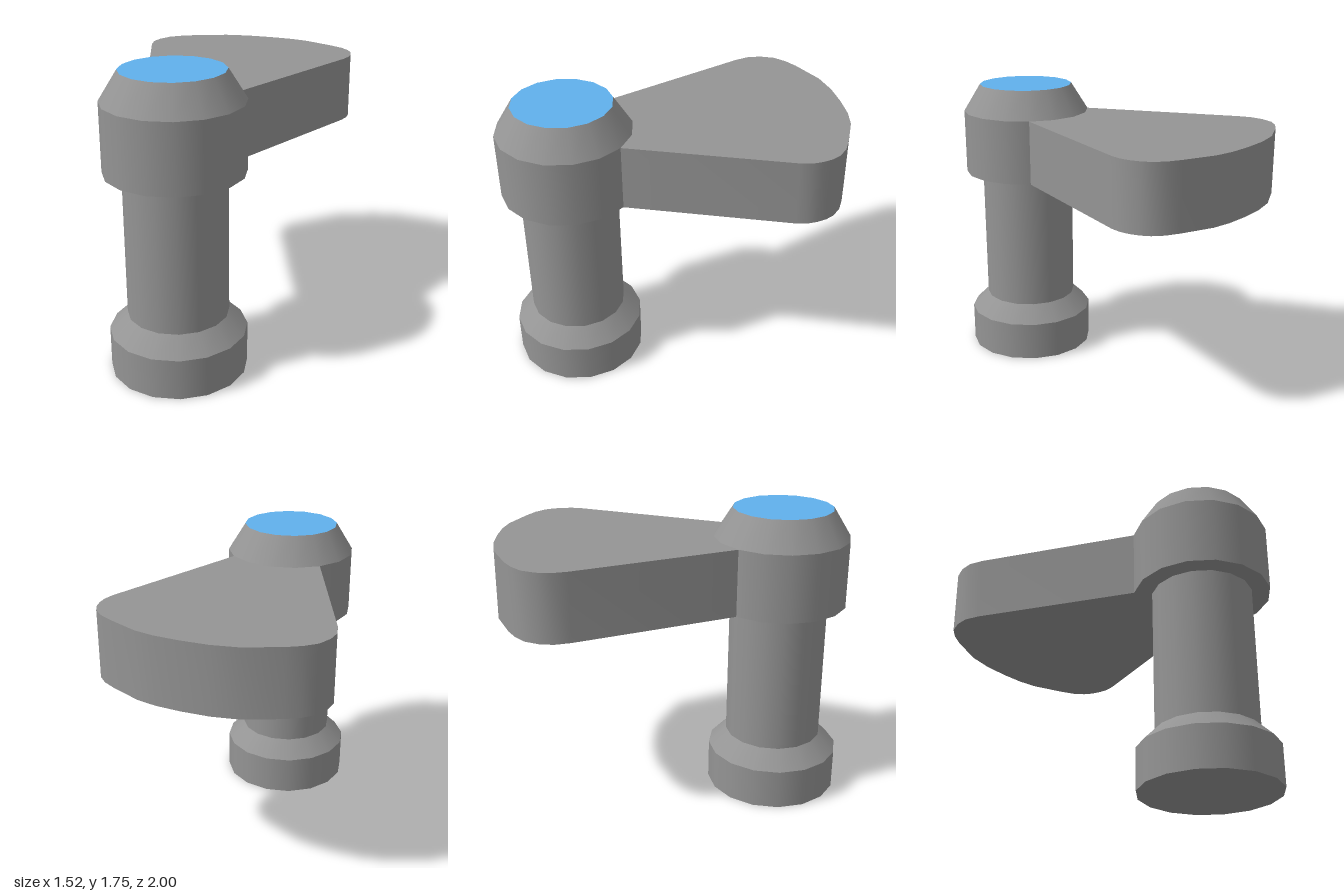
import * as THREE from 'three';
import { toCreasedNormals } from 'three/addons/utils/BufferGeometryUtils.js';

const SIDES = 16;
const AXIS = { x: -0.365, z: 0.603 };
const WIDE = 0.396, NARROW = 0.291;
const ARM_LOW = 1.192, ARM_HIGH = 1.587;

export function createModel() {
  const model = new THREE.Group();
  model.name = 'postWithArm';
  const grey = new THREE.MeshStandardMaterial({ color: 0x949494 });
  const blue = new THREE.MeshStandardMaterial({ color: 0x60b0ec });

  const add = (name, geometry, material = grey) => {
    const mesh = new THREE.Mesh(geometry, material);
    mesh.name = name;
    model.add(mesh);
    return mesh;
  };

  // Open ring section of the post between two heights
  const section = (name, y0, y1, r0, r1) => {
    const mesh = add(name, new THREE.CylinderGeometry(r1, r0, y1 - y0, SIDES, 1, true));
    mesh.position.set(AXIS.x, (y0 + y1) / 2, AXIS.z);
  };
  section('base', 0, 0.24, WIDE, WIDE);
  section('baseBevel', 0.24, 0.343, WIDE, NARROW);
  section('shaft', 0.343, ARM_LOW, NARROW, NARROW);
  section('head', ARM_LOW, ARM_HIGH, WIDE, WIDE);
  section('headBevel', ARM_HIGH, 1.755, WIDE, NARROW);

  // Flat faces closing the post
  const disc = (name, y, geometry, tilt, material) => {
    const mesh = add(name, geometry.rotateX(tilt), material);
    mesh.position.set(AXIS.x, y, AXIS.z);
  };
  disc('baseUnderside', 0, new THREE.CircleGeometry(WIDE, SIDES), Math.PI / 2);
  disc('headUnderside', ARM_LOW, new THREE.RingGeometry(NARROW, WIDE, SIDES), Math.PI / 2);
  disc('topCap', 1.755, new THREE.CircleGeometry(NARROW, SIDES), -Math.PI / 2, blue);

  // Fan-shaped arm: outline in x, z, closed along the rim of the head
  const outline = [
    [-0.508, -0.74], [-0.495, -0.83], [-0.455, -0.9], [-0.39, -0.96], [-0.31, -0.988],
    [-0.22, -1], [0, -1], [0.15, -0.965], [0.3, -0.905], [0.43, -0.84], [0.53, -0.77],
    [0.67, -0.62], [0.725, -0.55], [0.755, -0.48], [0.76, -0.42], [0.75, -0.36],
    [0.73, -0.305], [0.69, -0.25],
  ];
  for (let k = 5; k <= 9; k++) {
    const a = (k / SIDES) * Math.PI * 2;
    outline.push([AXIS.x + WIDE * Math.sin(a), AXIS.z + WIDE * Math.cos(a)]);
  }
  const shape = new THREE.Shape(outline.map(([x, z]) => new THREE.Vector2(x, -z)));
  const arm = new THREE.ExtrudeGeometry(shape, { depth: ARM_HIGH - ARM_LOW, bevelEnabled: false });
  arm.rotateX(-Math.PI / 2).translate(0, ARM_LOW, 0);
  add('arm', toCreasedNormals(arm, 0.6));

  return model;
}
